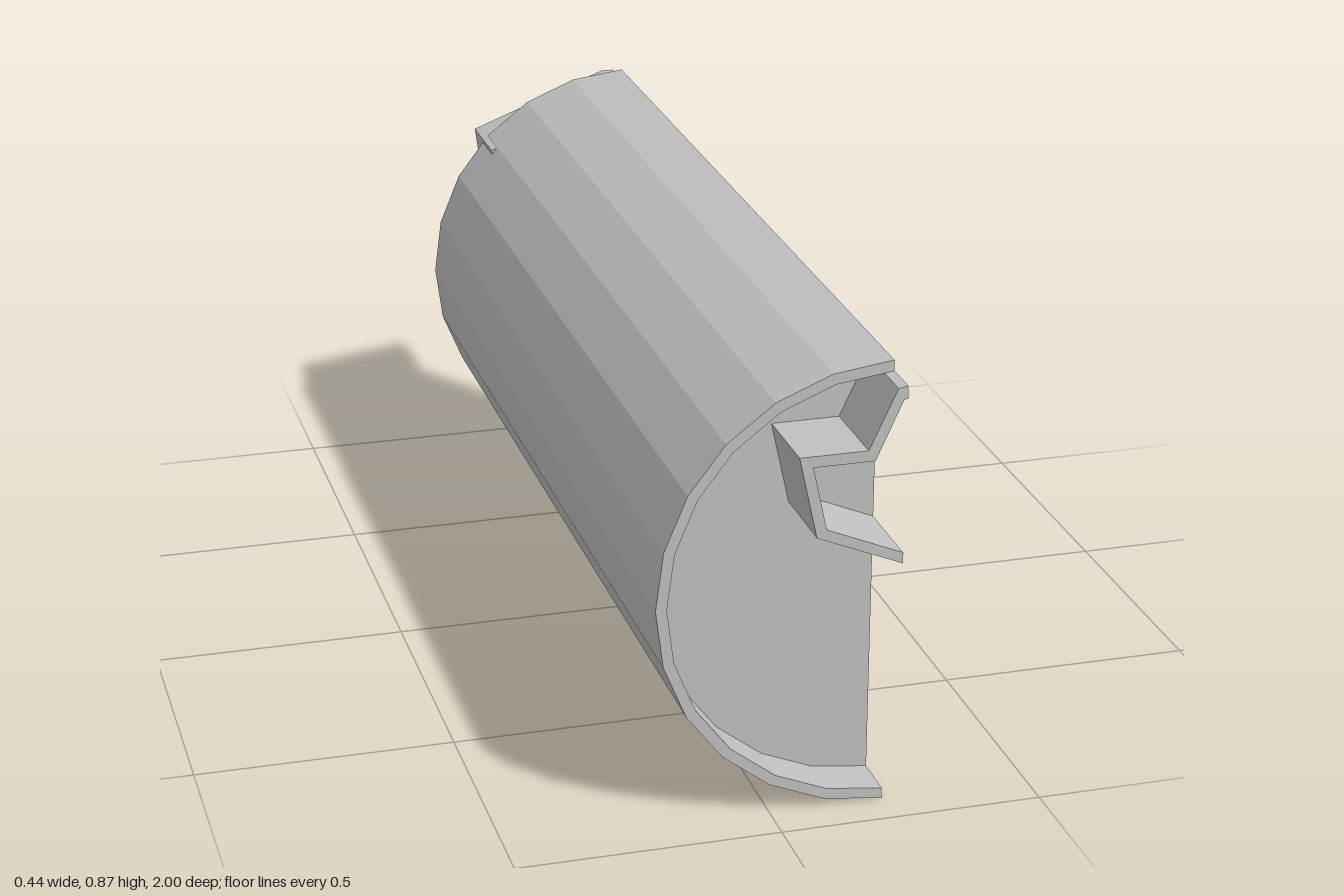
import * as THREE from 'three';
import { ConvexGeometry } from 'three/addons/geometries/ConvexGeometry.js';

const FLAT_X = 0.217; // plane of the flat side
const MID_Y = 0.436;  // centre height of the half round

export function createModel() {
  const group = new THREE.Group();
  const grey = new THREE.MeshStandardMaterial({ color: 0xc0c0c0 });
  grey.name = 'plain grey';

  const add = (name, geometry) => {
    const mesh = new THREE.Mesh(geometry, grey);
    mesh.name = name;
    group.add(mesh);
  };

  // extrude an x/y outline between two z positions
  const prism = (name, points, z0, z1) => {
    const shape = new THREE.Shape(points.map(([x, y]) => new THREE.Vector2(x, y)));
    const geometry = new THREE.ExtrudeGeometry(shape, { depth: z1 - z0, bevelEnabled: false });
    add(name, geometry.translate(0, 0, z0));
  };

  // faceted half circle, 12 sides, bulging to -x
  const arc = (r) => Array.from({ length: 13 }, (_, i) => {
    const a = Math.PI / 2 + (i * Math.PI) / 12;
    return [FLAT_X + r * Math.cos(a), MID_Y + r * Math.sin(a)];
  });

  // curved shell overhanging the solid core at both ends
  prism('shell', [...arc(0.436), ...arc(0.415).reverse()], -0.925, 0.925);
  prism('core', arc(0.415), -0.835, 0.835);

  // bent strip on the front end
  prism('frontBracket', [
    [FLAT_X, 0.852], [0.199, 0.849], [0.147, 0.737], [0.02, 0.737], [0.055, 0.58], [FLAT_X, 0.512],
    [FLAT_X, 0.533], [0.073, 0.594], [0.046, 0.716], [0.16, 0.716], [0.21, 0.827], [FLAT_X, 0.828],
  ], 0.835, 1);

  // wider bent strip on the back end
  prism('backBracket', [
    [FLAT_X, 0.85], [0.19, 0.85], [-0.105, 0.737], [-0.055, 0.355], [FLAT_X, 0.29],
    [FLAT_X, 0.311], [-0.037, 0.375], [-0.082, 0.724], [0.194, 0.829], [FLAT_X, 0.829],
  ], -1, -0.835);

  // small sloping fillet inside the bottom back lip
  add('lipWedge', new ConvexGeometry([
    new THREE.Vector3(FLAT_X, 0.021, -0.925),
    new THREE.Vector3(FLAT_X, 0.021, -0.835),
    new THREE.Vector3(FLAT_X, 0.048, -0.835),
    new THREE.Vector3(0.11, 0.035, -0.835),
  ]));

  return group;
}
